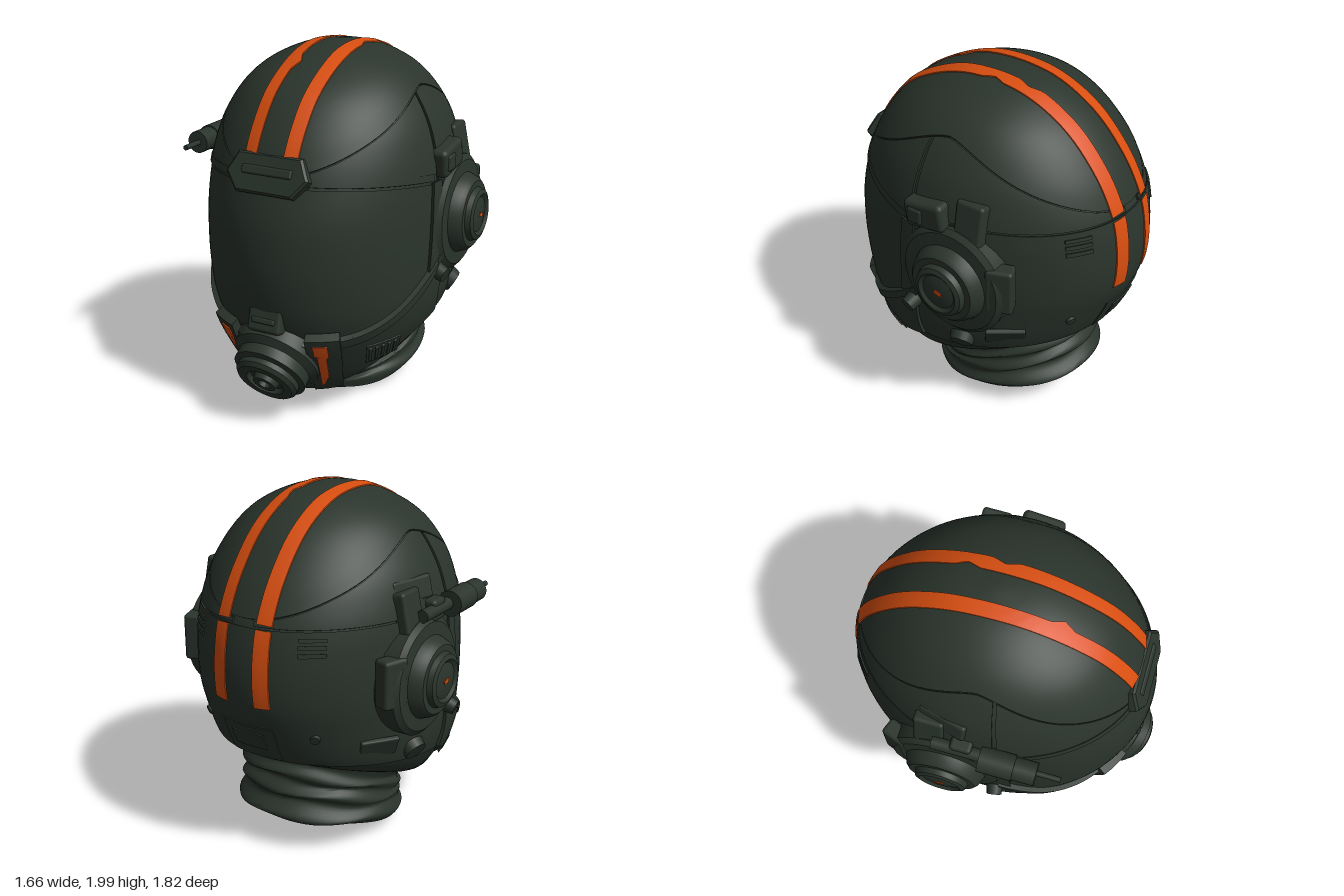
import * as THREE from 'three';
import { toCreasedNormals } from 'three/addons/utils/BufferGeometryUtils.js';
import { RoundedBoxGeometry } from 'three/addons/geometries/RoundedBoxGeometry.js';

const mat = (name, color) => new THREE.MeshStandardMaterial({ name, color, side: THREE.DoubleSide });
const green = mat('darkGreen', 0x2a342c);
const orange = mat('orange', 0xd84e10);
const centre = new THREE.Vector3(0, 1.05, -0.03);

// Tilted elliptical rings: front z, front y, back z, back y, half width
const head = [
  [-0.08, 1.985, -0.08, 1.985, 0], [0.15, 1.96, -0.3, 1.95, 0.2], [0.35, 1.88, -0.47, 1.87, 0.38],
  [0.52, 1.77, -0.6, 1.77, 0.5], [0.64, 1.63, -0.72, 1.63, 0.59], [0.72, 1.49, -0.8, 1.5, 0.64],
  [0.78, 1.33, -0.86, 1.35, 0.67], [0.825, 1.15, -0.89, 1.15, 0.68], [0.835, 0.95, -0.88, 0.97, 0.68],
  [0.82, 0.78, -0.835, 0.83, 0.675], [0.78, 0.6, -0.78, 0.7, 0.665], [0.7, 0.42, -0.735, 0.62, 0.63],
  [0.58, 0.2, -0.68, 0.59, 0.545], [0.48, 0.14, -0.62, 0.57, 0.45],
];
const neckRings = [
  [0.36, 0.2, -0.62, 0.58, 0.46], [0.3, 0.16, -0.59, 0.53, 0.44], [0.34, 0.15, -0.63, 0.47, 0.46],
  [0.3, 0.12, -0.585, 0.42, 0.44], [0.33, 0.11, -0.635, 0.36, 0.46], [0.31, 0.08, -0.59, 0.3, 0.45],
  [0.34, 0.06, -0.66, 0.22, 0.475], [0.33, 0.01, -0.61, 0.18, 0.45],
];

// Point on a stack of rings; angle 0 is the front, t counts rings downward
function ringPoint(rings, angle, t) {
  const k = Math.min(Math.floor(t), rings.length - 2), s = t - k;
  const at = (i) => rings[Math.max(0, Math.min(rings.length - 1, i))];
  const [zf, yf, zb, yb, w] = rings[0].map((_, c) => {
    const [p, q, r, u] = [at(k - 1)[c], at(k)[c], at(k + 1)[c], at(k + 2)[c]];
    return q + 0.5 * s * (r - p + s * (2 * p - 5 * q + 4 * r - u + s * (3 * (q - r) + u - p)));
  });
  const f = (1 + Math.cos(angle)) / 2;
  return new THREE.Vector3(w * Math.sin(angle), yb + (yf - yb) * f, zb + (zf - zb) * f);
}
function surface(angle, t, off = 0) {
  const p = ringPoint(head, angle, t);
  return p.addScaledVector(p.clone().sub(centre).normalize(), off);
}

// Quad grid from a point function
function grid(nu, nv, fn, crease = 0.7) {
  const pos = [], index = [];
  for (let i = 0; i <= nu; i++) for (let j = 0; j <= nv; j++) {
    pos.push(...fn(i, j).toArray());
    if (i < nu && j < nv) {
      const a = i * (nv + 1) + j, b = a + nv + 1;
      index.push(a, a + 1, b, b, a + 1, b + 1);
    }
  }
  const g = new THREE.BufferGeometry();
  g.setAttribute('position', new THREE.Float32BufferAttribute(pos, 3));
  g.setIndex(index);
  return toCreasedNormals(g, crease);
}

// Raised plate following the head, with skirted edges
function plate(a0, a1, lo, hi, thick, base = 0) {
  const nu = Math.max(4, Math.ceil((a1 - a0) * 14)) + 2, nv = 18;
  const clamp = (i, n) => Math.max(0, Math.min(n - 2, i - 1)) / (n - 2);
  return grid(nu, nv, (i, j) => {
    const a = a0 + (a1 - a0) * clamp(i, nu);
    const edge = i === 0 || j === 0 || i === nu || j === nv;
    return surface(a, THREE.MathUtils.lerp(lo(Math.abs(a)), hi(Math.abs(a)), clamp(j, nv)), edge ? base - 0.004 : base + thick);
  });
}

export function createModel() {
  const model = new THREE.Group();
  const add = (name, geo, m = green, x = 0, y = 0, z = 0) => {
    const mesh = new THREE.Mesh(geo, m);
    mesh.name = name;
    mesh.position.set(x, y, z);
    model.add(mesh);
    return mesh;
  };
  const place = (mesh, a, t, off = 0) => {
    mesh.position.copy(surface(a, t, off));
    mesh.lookAt(mesh.position.clone().multiplyScalar(2).sub(centre));
    return mesh;
  };
  const lathe = (pts, n = 40) => toCreasedNormals(new THREE.LatheGeometry(pts.map((p) => new THREE.Vector2(...p)), n), 0.5);
  const box = (x, y, z, r = 0.02) => new RoundedBoxGeometry(x, y, z, 2, r);
  const both = (a0, a1, s) => (s > 0 ? [a0, a1] : [-a1, -a0]);
  const lerp = THREE.MathUtils.lerp;
  const k = (v) => () => v;

  // Inner shell, closed underneath
  const shell = add('innerShell', grid(72, 52, (i, j) => surface((i / 72) * Math.PI * 2, j / 4), 1.2));
  add('shellUnderside', grid(48, 1, (i, j) => (j ? new THREE.Vector3(0, 0.37, -0.08) : surface((i / 48) * Math.PI * 2, 13))));

  // Outer shell panels and visor
  const seam = (a) => 2.9 + 2.6 * Math.pow(Math.abs(Math.cos(a)), 1.5);
  const brow = (a) => 5.7 + 0.5 * Math.pow(a / 1.4, 2);
  const jawTop = (a) => 10.4 - 1.9 * Math.pow((a - 0.5) / 0.95, 2);
  const jawLow = (a) => lerp(12.5, 10.8, (a - 0.35) / 1.1);
  add('crownPanel', plate(0, Math.PI * 2, k(0), seam, 0.013));
  add('visor', plate(-1.36, 1.36, (a) => brow(a) + 0.08, (a) => jawTop(Math.max(a, 0.4)) + 0.05, 0.008));
  add('rearPanel', plate(1.42, Math.PI * 2 - 1.42, k(5.76), k(10.9), 0.013));
  add('rearLatch', plate(Math.PI - 0.24, Math.PI + 0.24, k(8.9), k(10.7), 0.01, 0.01));
  add('rearLatchTab', plate(Math.PI - 0.15, Math.PI + 0.15, k(9.2), k(9.9), 0.008, 0.02));
  for (const s of [1, -1]) {
    add('browPanel', plate(...both(0.06, 1.39, s), (a) => seam(a) + 0.05, brow, 0.013));
    add('rearSidePanel', plate(...(s > 0 ? [1.42, Math.PI - 0.1] : [Math.PI + 0.1, Math.PI * 2 - 1.42]), (a) => seam(a) + 0.05, k(5.7), 0.012));
    add('browTrim', plate(...both(0.3, 1.36, s), (a) => brow(a) - 0.22, brow, 0.008, 0.01));
    add('visorSideTrim', plate(...both(1.34, 1.44, s), k(6.2), k(9), 0.025));
  }

  // Painted racing stripes, projected on the shell, with a few worn notches: side, edge, angle, shift
  const notches = [[-1, 1, 1.2, 0.03], [1, 0, 1.83, 0.025], [1, 1, 1.62, -0.025]];
  const ray = new THREE.Raycaster();
  const onShell = (x, phi, off) => {
    const dir = new THREE.Vector3(0, Math.sin(phi), Math.cos(phi));
    const from = new THREE.Vector3(x, 1.1, -0.03).addScaledVector(dir, 3);
    ray.set(from, dir.clone().negate());
    return ray.intersectObject(shell)[0].point.addScaledVector(dir, off);
  };
  for (const s of [1, -1]) for (const [p0, p1] of [[0.5, 2.77], [2.8, 3.29]]) {
    const n = Math.ceil((p1 - p0) * 40);
    add('stripe', grid(n, 7, (i, j) => {
      const phi = p0 + ((p1 - p0) * i) / n;
      const mid = s * lerp(0.118, 0.133, (phi - 0.5) / 2.8), half = lerp(0.038, 0.044, (phi - 0.5) / 2.8);
      const edges = [mid - half, mid + half];
      for (const [side, e, at, shift] of notches) {
        if (side === s) edges[e] += shift * Math.max(0, 1 - Math.abs(phi - at) / 0.08);
      }
      const f = Math.max(0, Math.min(1, (j - 1) / 5));
      return onShell(lerp(edges[0], edges[1], f), phi, j === 0 || j === 7 ? 0.011 : 0.02);
    }), orange);
  }

  // Brow latch
  const outline = new THREE.Shape([[-0.18, 0.09], [-0.23, -0.01], [-0.16, -0.1], [0.16, -0.1], [0.23, -0.01], [0.18, 0.09]].map((p) => new THREE.Vector2(...p)));
  const bevel = { bevelThickness: 0.012, bevelSize: 0.012, bevelSegments: 1 };
  add('browLatch', new THREE.ExtrudeGeometry(outline, { depth: 0.07, ...bevel }), green, 0, 1.4, 0.69).rotation.x = -0.42;
  add('browLatchBar', box(0.3, 0.05, 0.03, 0.012), green, 0, 1.44, 0.755).rotation.x = -0.42;

  // Jaw guard with vents, cheek pads, worn paint and knobs
  const disc = (r, h) => new THREE.CylinderGeometry(r * 0.85, r, h, 20).rotateX(Math.PI / 2);
  for (const s of [1, -1]) {
    add('jawGuard', plate(...both(0.36, 1.48, s), jawTop, jawLow, 0.03));
    add('jawUpperRim', plate(...both(0.4, 1.42, s), jawTop, (a) => jawTop(a) + 0.3, 0.012, 0.028));
    add('jawVentPanel', plate(...both(0.78, 1.08, s), k(10.85), k(11.5), 0.008, 0.028));
    for (let i = 0; i < 5; i++) add('jawVentSlat', plate(...both(0.8 + i * 0.055, 0.825 + i * 0.055, s), k(10.95), k(11.4), 0.008, 0.036));
    add('cheekPad', plate(...both(0.32, 0.58, s), k(10.15), k(12), 0.05, 0.02));
    add('cheekPaint', plate(...both(0.375, 0.485, s), k(10.35), (a) => 10.8 + 0.1 * Math.sin(a * 60), 0.005, 0.071), orange);
    add('cheekPaintWorn', plate(...both(0.395, 0.465, s), k(10.75), (a) => 11.6 + 0.15 * Math.sin(a * 50), 0.005, 0.071), orange);
    place(add('jawKnob', disc(0.05, 0.07)), s * 1.45, 9.05, 0.04);
    place(add('lowerKnob', disc(0.075, 0.05)), s * 1.83, 10.3, 0.015);
    place(add('rearBolt', disc(0.03, 0.025)), s * 2.6, 9.2, 0.013);
    place(add('rearVentPad', box(0.22, 0.13, 0.03, 0.01)), s * 2.15, 9.85, 0.006);
    for (let i = 0; i < 3; i++) {
      const from = s > 0 ? 2.48 : Math.PI * 2 - 2.68;
      add('rearVentSlat', plate(from, from + 0.2, k(5.95 + i * 0.2), k(6.06 + i * 0.2), 0.01, 0.012));
    }
  }

  // Respirator
  add('maskHousing', plate(-0.4, 0.4, (a) => 10 + a * 1.6, k(12.6), 0.05));
  add('respirator', lathe([[0.25, -0.14], [0.25, -0.06], [0.21, -0.03], [0.21, 0.03], [0.18, 0.04], [0.18, 0.07], [0.16, 0.09],
    [0.11, 0.09], [0.1, 0.06], [0.075, 0.06], [0.065, 0.1], [0.035, 0.1], [0.03, 0.05], [0, 0.05]]), green, 0, 0.31, 0.75).rotation.x = 2.15;
  add('maskBridge', box(0.2, 0.14, 0.1), green, 0, 0.62, 0.775).rotation.x = -0.3;
  add('maskBridgeSlot', box(0.14, 0.03, 0.03, 0.008), green, 0, 0.63, 0.825).rotation.x = -0.3;

  // Ear pieces with brackets around them
  for (const s of [1, -1]) {
    add('earPiece', lathe([[0.33, 0.55], [0.33, 0.69], [0.3, 0.715], [0.23, 0.72], [0.21, 0.77], [0.19, 0.79], [0.155, 0.79],
      [0.145, 0.82], [0.12, 0.83], [0.1, 0.815], [0.06, 0.825], [0, 0.825]]), green, 0, 1.05, -0.18).rotation.z = -s * Math.PI / 2;
    add('earDot', new THREE.BoxGeometry(0.006, 0.022, 0.045), orange, s * 0.827, 1.05, -0.185).rotation.x = -0.3;
    add('earRearWing', box(0.1, 0.27, 0.15), green, s * 0.655, 1.1, -0.465).rotation.y = s * 0.35;
    add('earTopPlate', box(0.09, 0.26, 0.17), green, s * 0.63, 1.41, -0.27).rotation.z = s * 0.2;
  }

  // Left side bracket
  add('sideBracket', box(0.13, 0.16, 0.25, 0.03), green, 0.66, 1.41, -0.02).rotation.x = 0.15;
  add('sideBracketCap', box(0.05, 0.1, 0.1), green, 0.71, 1.4, 0.03);

  // Right side lamp on an arm
  const rod = (name, r, z0, z1, x) => add(name, new THREE.CylinderGeometry(r, r, z1 - z0, 24).rotateX(Math.PI / 2), green, x, 1.4, (z0 + z1) / 2);
  rod('lampBody', 0.072, 0.03, 0.22, -0.715);
  rod('lampHead', 0.064, 0.22, 0.34, -0.715);
  rod('lampRod', 0.015, 0.34, 0.47, -0.708);
  rod('lampArm', 0.035, -0.24, 0.04, -0.7);
  add('lampMount', box(0.12, 0.12, 0.12), green, -0.66, 1.4, -0.08);
  add('lampFin', box(0.05, 0.13, 0.28), green, -0.605, 1.52, -0.2).rotation.set(0, -0.25, -0.25);

  // Folded fabric neck, closed by a shallow recess
  const neckPoint = (a, t) => {
    const p = ringPoint(neckRings, a, t);
    p.y += 0.008 * Math.sin(a * 5 + t * 1.8);
    return p;
  };
  add('neckFolds', grid(60, 42, (i, j) => neckPoint((i / 60) * Math.PI * 2, j / 6), 1.2));
  add('neckBase', grid(60, 1, (i, j) => (j ? new THREE.Vector3(0, 0.14, -0.14) : neckPoint((i / 60) * Math.PI * 2, 7))));
  return model;
}
